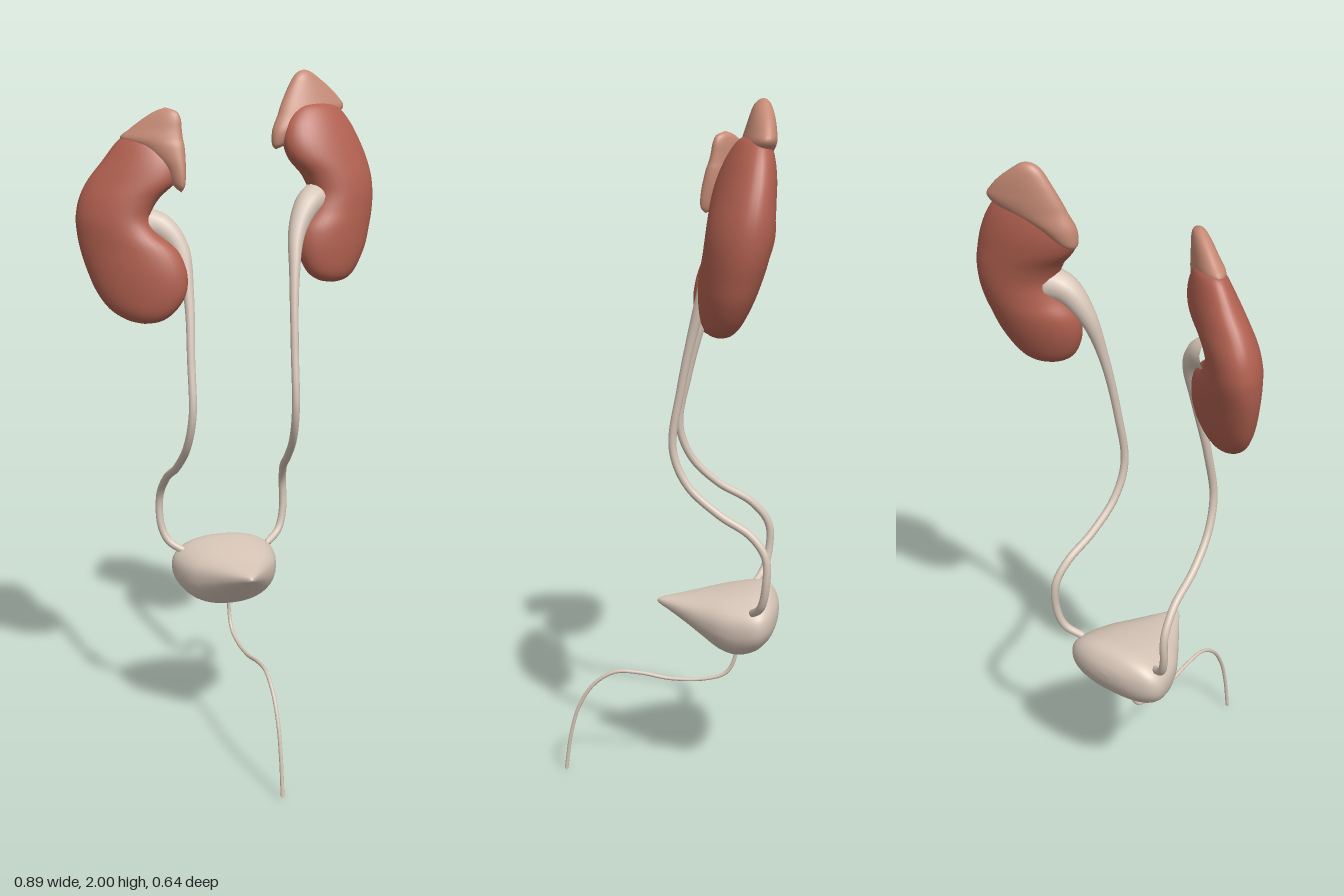
import * as THREE from 'three';
import { mergeVertices } from 'three/addons/utils/BufferGeometryUtils.js';

const mat = (name, color) => {
  const m = new THREE.MeshStandardMaterial({ color });
  m.name = name;
  return m;
};

// Catmull-Rom interpolation of a list of number rows
function smoothRows(rows, steps) {
  const out = [];
  const last = rows.length - 1;
  for (let i = 0; i < last; i++) {
    const [p, q, r, s] = [rows[Math.max(i - 1, 0)], rows[i], rows[i + 1], rows[Math.min(i + 2, last)]];
    for (let k = 0; k < steps; k++) {
      const t = k / steps;
      out.push(q.map((v, n) => v + 0.5 * t * (r[n] - p[n]
        + t * (2 * p[n] - 5 * v + 4 * r[n] - s[n] + t * (3 * (v - r[n]) + s[n] - p[n])))));
    }
  }
  out.push(rows[last]);
  return out;
}

// Closed smooth skin over rings; ring(row, cos, sin) returns a point
function loft(rows, ring, steps = 5, sides = 36) {
  const all = smoothRows(rows, steps);
  const pos = [], index = [];
  all.forEach((row, i) => {
    for (let j = 0; j < sides; j++) {
      const a = (j / sides) * Math.PI * 2;
      pos.push(...ring(row, Math.cos(a), Math.sin(a)));
      if (i < all.length - 1) {
        const k = (j + 1) % sides, b = i * sides, c = b + sides;
        index.push(b + j, c + j, b + k, b + k, c + j, c + k);
      }
    }
  });
  let g = new THREE.BufferGeometry();
  g.setAttribute('position', new THREE.Float32BufferAttribute(pos, 3));
  g.setIndex(index);
  g = mergeVertices(g, 1e-5);
  g.computeVertexNormals();
  return g;
}

// Horizontal slices [y, xMin, xMax, zCentre, halfDepth], turned by slope about x = pivot
const slices = (rows, slope, pivot) => loft(rows, ([y, x0, x1, z, d], c, s) => {
  const x = (x0 + x1) / 2 + ((x1 - x0) / 2) * c;
  return [x, y, z + slope * (x - pivot) + d * s];
});

// Tube along points whose radius follows a rule, closed at its far end
function taperedTube(points, radius, segments = 90) {
  const curve = new THREE.CatmullRomCurve3(points.map(p => new THREE.Vector3(...p)));
  const sides = 14;
  const g = new THREE.TubeGeometry(curve, segments, 1, sides);
  const p = g.attributes.position, v = new THREE.Vector3();
  for (let i = 0; i <= segments; i++) {
    const u = i / segments, c = curve.getPointAt(u);
    const r = i === segments ? 0 : radius(u);
    for (let j = 0; j <= sides; j++) {
      const n = i * (sides + 1) + j;
      v.fromBufferAttribute(p, n).sub(c).multiplyScalar(r).add(c);
      p.setXYZ(n, v.x, v.y, v.z);
    }
  }
  return g;
}

export function createModel() {
  const group = new THREE.Group();
  const kidneyRed = mat('kidneyRed', 0xb26150);
  const glandPink = mat('glandPink', 0xc68b76);
  const paleTissue = mat('paleTissue', 0xd6c5b7);
  const add = (name, geometry, material) => {
    const m = new THREE.Mesh(geometry, material);
    m.name = name;
    group.add(m);
  };

  // Kidneys: bean outline with the notch on the inner edge
  add('leftKidney', slices([
    [1.39, 0.30, 0.30, -0.155, 0],
    [1.40, 0.25, 0.345, -0.157, 0.03],
    [1.43, 0.212, 0.378, -0.162, 0.052],
    [1.49, 0.188, 0.412, -0.172, 0.07],
    [1.55, 0.19, 0.43, -0.182, 0.08],
    [1.60, 0.22, 0.441, -0.19, 0.083],
    [1.65, 0.235, 0.445, -0.197, 0.085],
    [1.70, 0.215, 0.442, -0.205, 0.084],
    [1.75, 0.172, 0.43, -0.215, 0.08],
    [1.80, 0.158, 0.41, -0.226, 0.073],
    [1.85, 0.17, 0.383, -0.236, 0.06],
    [1.89, 0.20, 0.35, -0.244, 0.042],
    [1.905, 0.23, 0.32, -0.248, 0.025],
    [1.912, 0.275, 0.275, -0.25, 0],
  ], -0.22, 0.31), kidneyRed);

  add('rightKidney', slices([
    [1.30, -0.28, -0.28, -0.135, 0],
    [1.31, -0.325, -0.235, -0.137, 0.03],
    [1.34, -0.37, -0.197, -0.142, 0.052],
    [1.39, -0.403, -0.168, -0.15, 0.068],
    [1.45, -0.425, -0.165, -0.158, 0.078],
    [1.51, -0.44, -0.188, -0.166, 0.082],
    [1.56, -0.446, -0.24, -0.172, 0.083],
    [1.60, -0.446, -0.255, -0.176, 0.082],
    [1.65, -0.435, -0.23, -0.182, 0.079],
    [1.70, -0.41, -0.182, -0.188, 0.072],
    [1.75, -0.372, -0.178, -0.194, 0.062],
    [1.80, -0.335, -0.20, -0.2, 0.045],
    [1.82, -0.31, -0.23, -0.203, 0.028],
    [1.83, -0.27, -0.27, -0.205, 0],
  ], 0.45, -0.31), kidneyRed);

  // Glands capping the kidneys
  add('leftAdrenalGland', slices([
    [1.775, 0.14, 0.14, -0.235, 0],
    [1.79, 0.13, 0.175, -0.235, 0.022],
    [1.83, 0.132, 0.235, -0.238, 0.036],
    [1.87, 0.15, 0.34, -0.243, 0.042],
    [1.895, 0.16, 0.37, -0.247, 0.042],
    [1.92, 0.172, 0.355, -0.251, 0.038],
    [1.95, 0.188, 0.325, -0.255, 0.032],
    [1.98, 0.207, 0.285, -0.258, 0.023],
    [1.995, 0.225, 0.262, -0.26, 0.012],
    [2.0, 0.243, 0.243, -0.26, 0],
  ], -0.2, 0.25), glandPink);

  add('rightAdrenalGland', slices([
    [1.67, -0.178, -0.178, -0.12, 0],
    [1.69, -0.198, -0.168, -0.125, 0.022],
    [1.74, -0.225, -0.163, -0.138, 0.036],
    [1.79, -0.285, -0.163, -0.146, 0.042],
    [1.815, -0.322, -0.166, -0.15, 0.042],
    [1.84, -0.298, -0.168, -0.153, 0.036],
    [1.87, -0.262, -0.17, -0.155, 0.028],
    [1.89, -0.232, -0.18, -0.156, 0.018],
    [1.90, -0.207, -0.207, -0.156, 0],
  ], 0.6, -0.23), glandPink);

  // Ureters widening into the kidney notches
  const ureterRadius = u => 0.0115 + 0.037 * Math.exp(-Math.pow(u / 0.13, 1.5));
  add('leftUreter', taperedTube([
    [0.28, 1.645, -0.185], [0.225, 1.625, -0.155], [0.178, 1.55, -0.125],
    [0.156, 1.42, -0.085], [0.143, 1.22, -0.042], [0.14, 1.05, -0.02],
    [0.147, 0.95, -0.06], [0.161, 0.87, -0.15], [0.178, 0.815, -0.24],
    [0.19, 0.755, -0.282], [0.192, 0.67, -0.283], [0.173, 0.605, -0.27],
    [0.12, 0.567, -0.24],
  ], ureterRadius), paleTissue);
  add('rightUreter', taperedTube([
    [-0.275, 1.58, -0.165], [-0.222, 1.565, -0.145], [-0.175, 1.505, -0.122],
    [-0.161, 1.38, -0.085], [-0.168, 1.2, -0.04], [-0.172, 1.05, -0.015],
    [-0.179, 0.95, -0.05], [-0.188, 0.87, -0.13], [-0.196, 0.81, -0.23],
    [-0.203, 0.74, -0.283], [-0.2, 0.65, -0.283], [-0.18, 0.6, -0.268],
    [-0.13, 0.567, -0.24],
  ], ureterRadius), paleTissue);

  // Bladder: cross-sections [z, halfWidth, yTop, yMiddle, yBottom] from the pointed front to the back
  add('bladder', loft([
    [0.038, 0, 0.555, 0.555, 0.555],
    [0.03, 0.01, 0.564, 0.555, 0.546],
    [0, 0.032, 0.57, 0.55, 0.528],
    [-0.05, 0.068, 0.578, 0.54, 0.496],
    [-0.10, 0.103, 0.587, 0.53, 0.46],
    [-0.15, 0.135, 0.596, 0.525, 0.425],
    [-0.20, 0.154, 0.604, 0.523, 0.411],
    [-0.25, 0.163, 0.609, 0.525, 0.425],
    [-0.28, 0.152, 0.605, 0.53, 0.45],
    [-0.30, 0.122, 0.592, 0.535, 0.475],
    [-0.315, 0.065, 0.568, 0.54, 0.51],
    [-0.32, 0, 0.542, 0.542, 0.542],
  ], ([z, w, top, mid, low], c, s) => {
    const bulge = n => Math.sign(n) * Math.pow(Math.abs(n), 0.88);
    return [-0.012 + w * bulge(c), mid + bulge(s) * (s > 0 ? top - mid : mid - low), z];
  }), paleTissue);

  // Urethra curving forwards and down
  add('urethra', taperedTube([
    [-0.195, 0.43], [-0.19, 0.375], [-0.165, 0.333], [-0.1, 0.312], [0, 0.31],
    [0.09, 0.325], [0.165, 0.325], [0.23, 0.283], [0.275, 0.21], [0.3, 0.12], [0.317, 0],
  ].map(([z, y]) => [-0.012, y, z]), () => 0.0055), paleTissue);

  return group;
}
